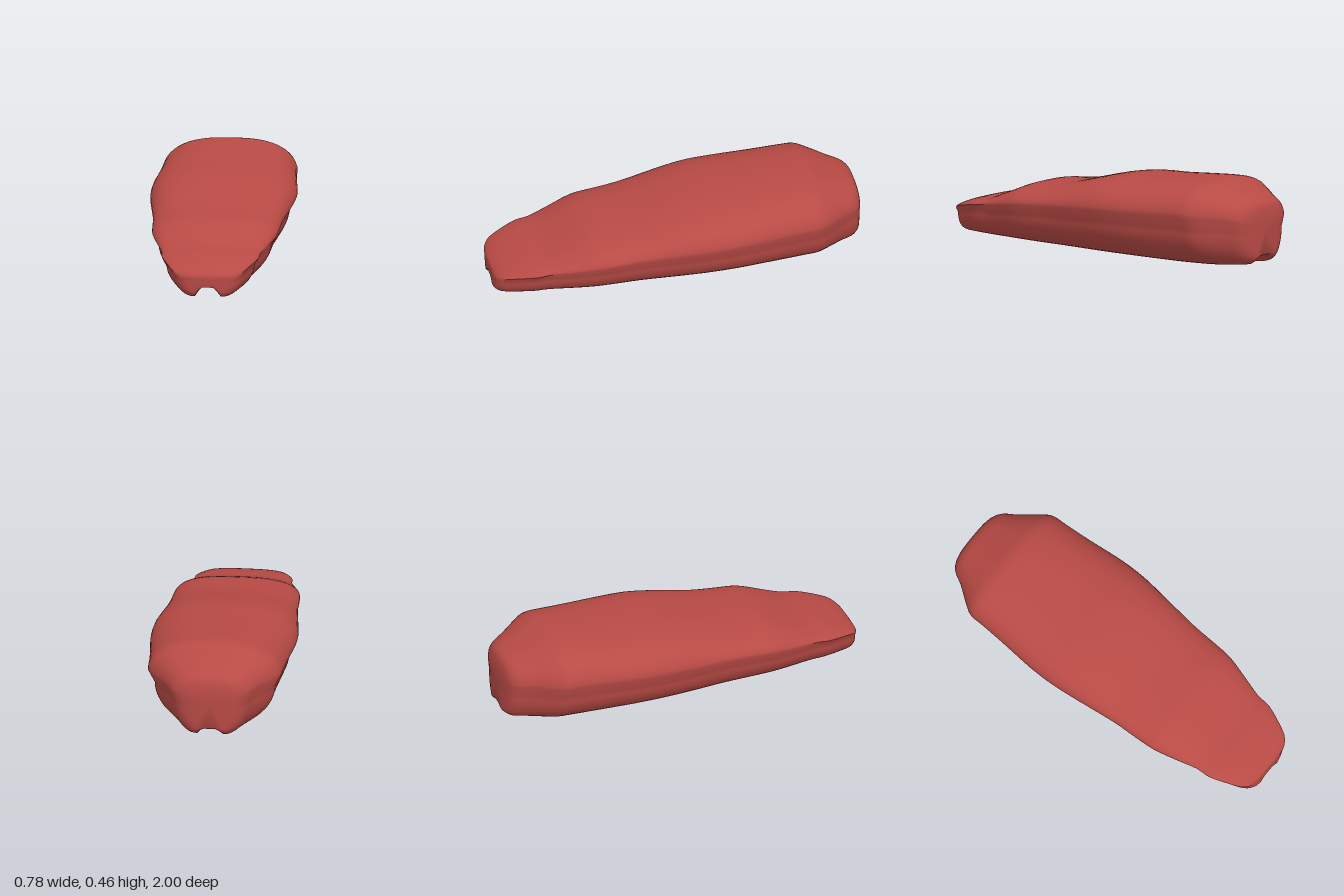
import * as THREE from 'three';
import { toCreasedNormals } from 'three/addons/utils/BufferGeometryUtils.js';

// stations from front to back: z, half width, top height, rim height, bottom height
const STATIONS = [
  [1.0, 0.10, 0.135, 0.125, 0.045],
  [0.99, 0.145, 0.148, 0.132, 0.028],
  [0.96, 0.185, 0.168, 0.15, 0.014],
  [0.9, 0.217, 0.192, 0.167, 0.01],
  [0.8, 0.256, 0.218, 0.185, 0.008],
  [0.72, 0.263, 0.23, 0.195, 0.006],
  [0.6, 0.298, 0.277, 0.21, 0.005],
  [0.48, 0.329, 0.322, 0.228, 0.004],
  [0.36, 0.338, 0.333, 0.238, 0.003],
  [0.22, 0.345, 0.352, 0.248, 0.002],
  [0.0, 0.371, 0.405, 0.26, 0],
  [-0.15, 0.386, 0.427, 0.27, 0],
  [-0.3, 0.386, 0.432, 0.275, 0],
  [-0.5, 0.368, 0.447, 0.28, 0],
  [-0.65, 0.358, 0.457, 0.285, 0.003],
  [-0.73, 0.353, 0.456, 0.285, 0.006],
  [-0.79, 0.318, 0.437, 0.28, 0.01],
  [-0.88, 0.25, 0.402, 0.275, 0.018],
  [-0.95, 0.207, 0.375, 0.265, 0.028],
  [-0.985, 0.16, 0.345, 0.255, 0.05],
  [-1.0, 0.095, 0.29, 0.24, 0.068],
];
const TOP_STEPS = 14, SIDE_STEPS = 12;
const GROOVE = { foot: 0.07, roof: 0.03, height: 0.072 };

// right half of a cross-section, from top centre down to the groove roof
function halfSection(w, top, rim, bottom) {
  const pts = [];
  for (let i = 0; i <= TOP_STEPS; i++) {
    const s = Math.sin((i / TOP_STEPS) * Math.PI / 2);
    pts.push([w * s, rim + (top - rim) * Math.sqrt(Math.max(0, 1 - s ** 2.8))]);
  }
  // the flank tucks in below the rim, then curves under to the groove
  const sideW = w * 0.9, sideY = bottom + (rim - bottom) * 0.76;
  const foot = Math.min(GROOVE.foot, sideW * 0.75);
  for (let i = 0; i <= SIDE_STEPS; i++) {
    const a = (i / SIDE_STEPS) * Math.PI / 2;
    pts.push([
      foot + (sideW - foot) * Math.cos(a) ** 0.92,
      sideY - (sideY - bottom) * Math.sin(a),
    ]);
  }
  const roofY = Math.max(GROOVE.height, bottom + 0.015);
  pts.push([GROOVE.roof, roofY], [0, roofY]);
  return pts;
}

function bodyGeometry() {
  // smooth curves through the stations, sharing one parameter
  const curve = (f) => new THREE.CatmullRomCurve3(STATIONS.map(f), false, 'catmullrom', 0.5);
  const outline = curve(([z, w, top]) => new THREE.Vector3(z, w, top));
  const heights = curve(([, , , rim, bottom]) => new THREE.Vector3(rim, bottom, 0));
  const rows = (STATIONS.length - 1) * 3;
  const pos = [], index = [];
  let n = 0;
  for (let i = 0; i <= rows; i++) {
    const o = outline.getPoint(i / rows), h = heights.getPoint(i / rows);
    const half = halfSection(o.y, o.z, h.x, Math.max(0, h.y));
    const mirrored = half.slice(1, -1).reverse().map(([x, y]) => [-x, y]);
    const ring = [...half, ...mirrored];
    n = ring.length;
    for (const [x, y] of ring) pos.push(x, y, o.x);
  }
  for (let i = 0; i < rows; i++) {
    for (let j = 0; j < n; j++) {
      const a = i * n + j, b = i * n + ((j + 1) % n);
      index.push(a, b, a + n, b, b + n, a + n);
    }
  }
  // close both ends with fans
  const front = pos.length / 3, back = front + 1, last = rows * n;
  pos.push(0, 0.115, 1, 0, 0.21, -1);
  for (let j = 0; j < n; j++) {
    const k = (j + 1) % n;
    index.push(front, k, j, back, last + j, last + k);
  }
  const geo = new THREE.BufferGeometry();
  geo.setAttribute('position', new THREE.Float32BufferAttribute(pos, 3));
  geo.setIndex(index);
  return toCreasedNormals(geo, 0.85);
}

export function createModel() {
  const group = new THREE.Group();
  const material = new THREE.MeshStandardMaterial({ color: 0xb84a45 });
  const body = new THREE.Mesh(bodyGeometry(), material);
  body.name = 'groovedBody';
  group.add(body);
  return group;
}
